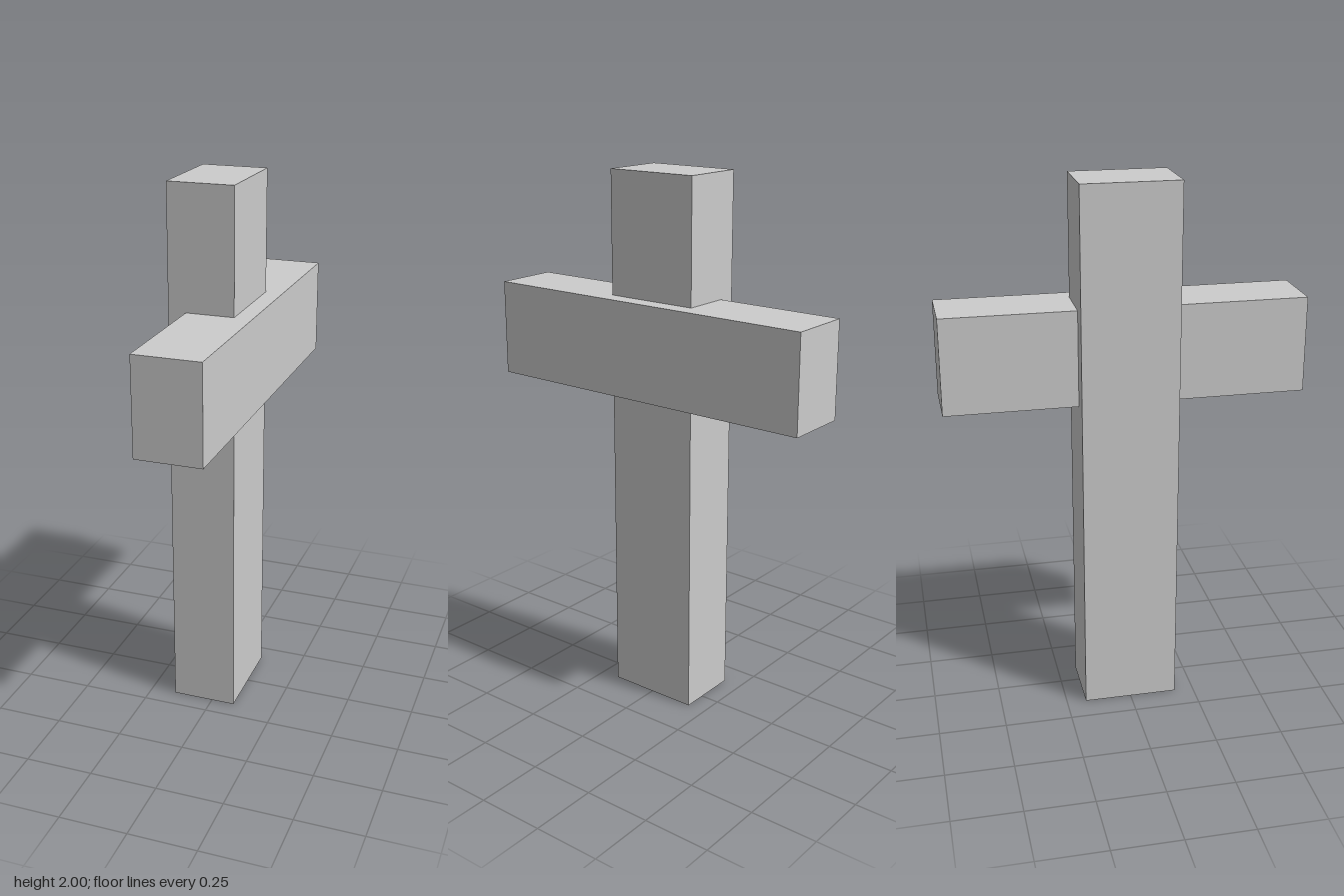
import * as THREE from 'three';

export function createModel() {
  const group = new THREE.Group();
  const material = new THREE.MeshStandardMaterial({ color: 0xcccccc, flatShading: true });

  const addBeam = (name, size, position) => {
    const beam = new THREE.Mesh(new THREE.BoxGeometry(...size), material);
    beam.name = name;
    beam.position.set(...position);
    group.add(beam);
  };

  const thickness = 0.241; // beam depth along x
  const width = 0.354;     // beam face width
  const offset = 0.0325;   // each beam is shifted sideways for the lapped joint

  // Upright post
  addBeam('uprightPost', [thickness, 2, width], [-offset, 1, 0]);
  // Crossbar, lapped into the post and standing proud on the +x side
  addBeam('crossbar', [thickness, width, 1.32], [offset, 1.376, 0]);

  return group;
}
